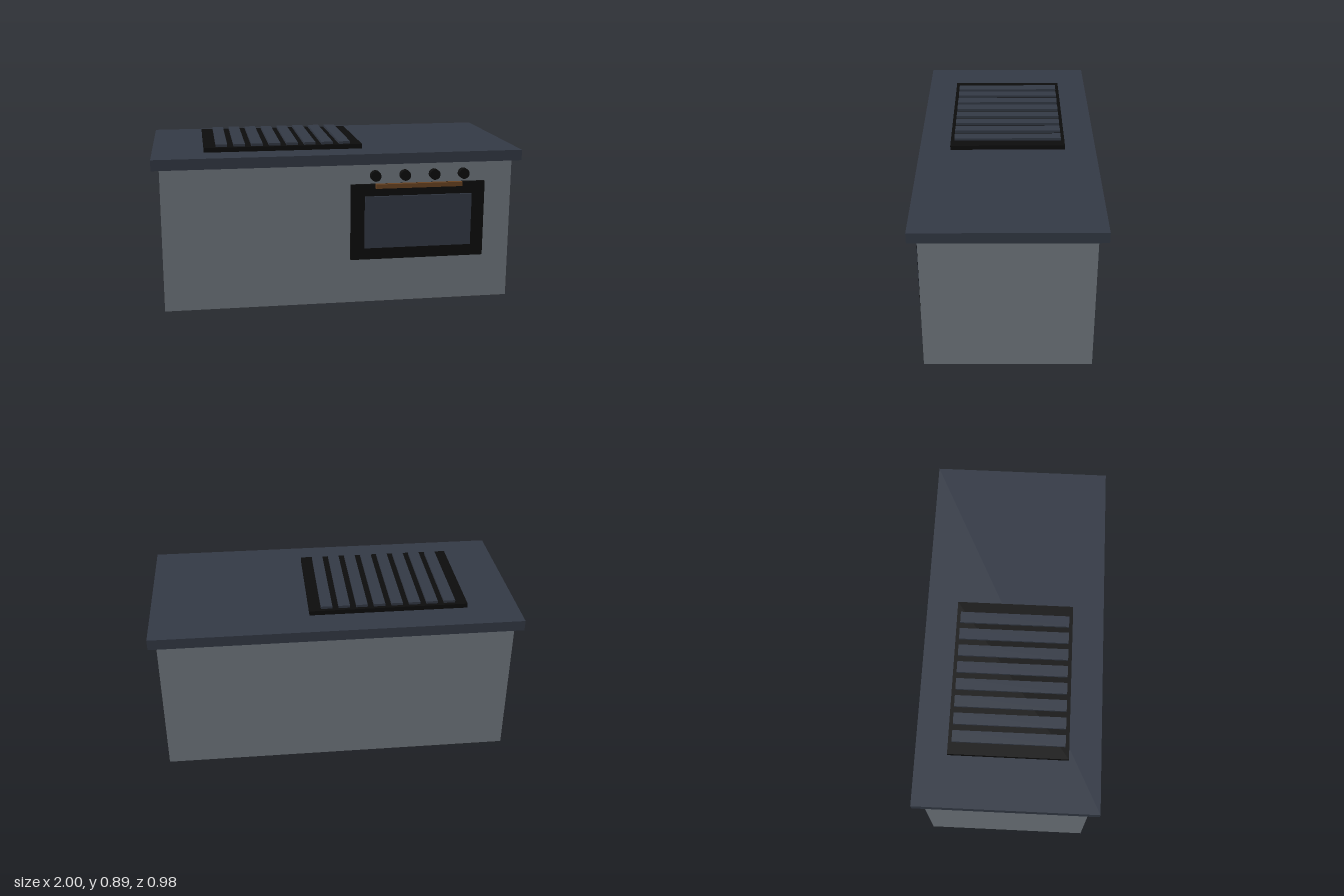
import * as THREE from 'three';

const material = (name, color) => {
  const m = new THREE.MeshStandardMaterial({ color });
  m.name = name;
  return m;
};

export function createModel() {
  const model = new THREE.Group();
  model.name = 'kitchenIsland';

  const grey = material('cabinetGrey', 0x737a81);
  const slate = material('slate', 0x343a46);
  const black = material('black', 0x0d0d0d);
  const wood = material('wood', 0x6b4423);

  const add = (name, geometry, mat, parent = model) => {
    const mesh = new THREE.Mesh(geometry, mat);
    mesh.name = name;
    parent.add(mesh);
    return mesh;
  };

  // Box given by its lower and upper limits on each axis
  const box = (name, mat, [x0, x1], [y0, y1], [z0, z1], parent) => {
    const mesh = add(name, new THREE.BoxGeometry(x1 - x0, y1 - y0, z1 - z0), mat, parent);
    mesh.position.set((x0 + x1) / 2, (y0 + y1) / 2, (z0 + z1) / 2);
    return mesh;
  };

  const group = (name) => {
    const g = new THREE.Group();
    g.name = name;
    model.add(g);
    return g;
  };

  // Cabinet and overhanging worktop
  box('cabinet', grey, [-0.96, 0.96], [0.001, 0.79], [-0.443, 0.443]);
  box('worktop', slate, [-1, 1], [0.79, 0.848], [-0.49, 0.49]);

  // Grill with eight raised bars
  const grill = group('grill');
  box('grillBase', black, [-0.722, 0.143], [0.848, 0.873], [-0.319, 0.319], grill);
  for (let i = 0; i < 8; i++) {
    const x = -0.626 + i * 0.0963;
    box('grillBar', slate, [x - 0.031, x + 0.031], [0.873, 0.887], [-0.299, 0.299], grill);
  }

  // Oven door, window and handle
  const oven = group('oven');
  box('ovenDoor', black, [0.058, 0.805], [0.252, 0.675], [0.443, 0.462], oven);
  box('ovenWindow', slate, [0.134, 0.73], [0.319, 0.609], [0.462, 0.474], oven);
  box('ovenHandle', wood, [0.192, 0.672], [0.655, 0.679], [0.462, 0.486], oven);

  // Control knobs
  const knobs = group('knobs');
  const knobGeometry = new THREE.CylinderGeometry(0.0285, 0.0285, 0.037, 24);
  knobGeometry.rotateX(Math.PI / 2);
  for (let i = 0; i < 4; i++) {
    add('knob', knobGeometry, black, knobs).position.set(0.191 + i * 0.1635, 0.723, 0.4675);
  }

  // Low round feet set into the underside
  const feet = group('feet');
  const footGeometry = new THREE.CylinderGeometry(0.033, 0.033, 0.02, 24);
  for (const x of [-0.85, 0.85]) {
    for (const z of [-0.365, 0.365]) {
      add('foot', footGeometry, black, feet).position.set(x, 0.01, z);
    }
  }

  return model;
}
